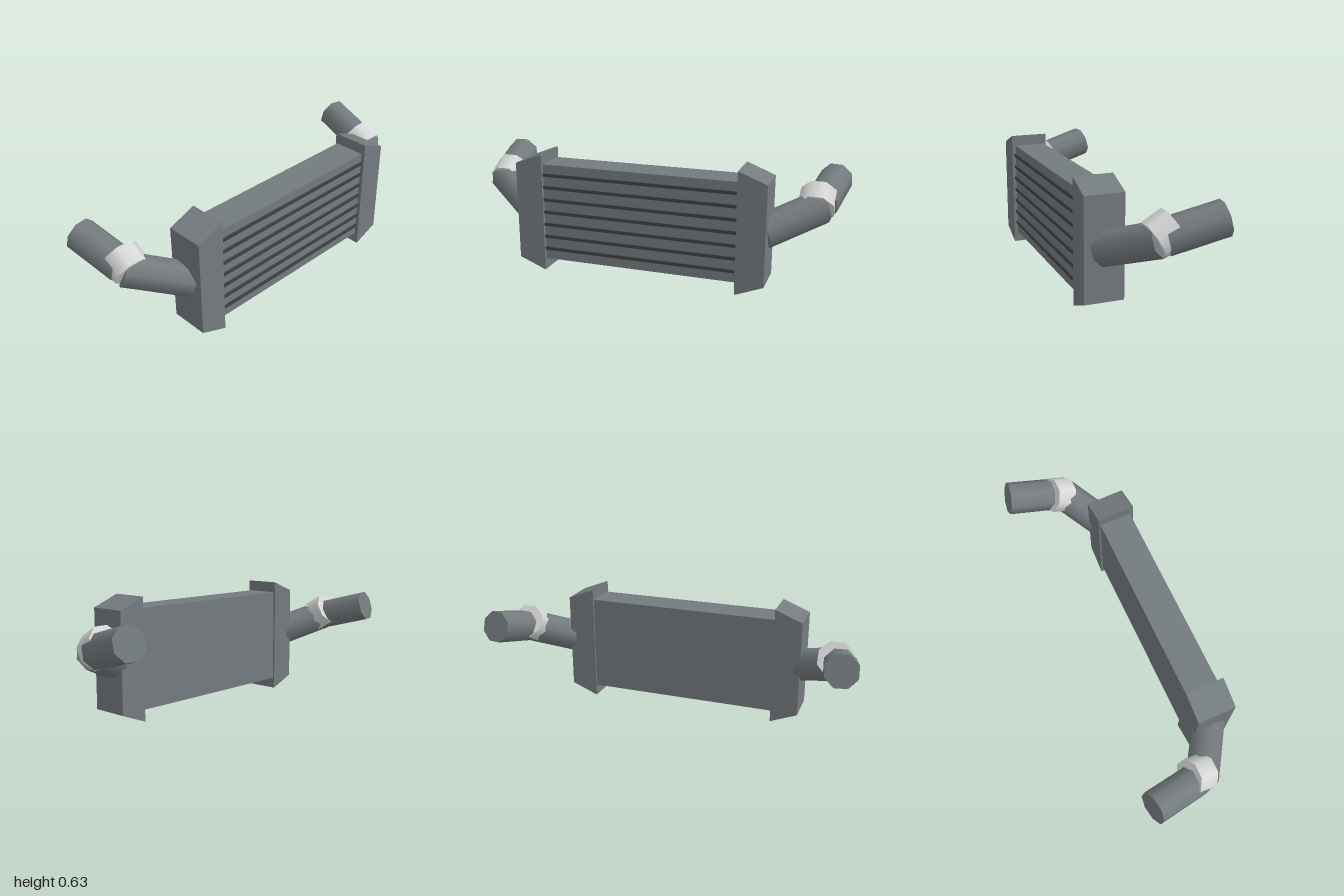
import * as THREE from 'three';

const steel = new THREE.MeshStandardMaterial({ color: 0x747b7f });
steel.name = 'steel grey';
const dark = new THREE.MeshStandardMaterial({ color: 0x3e4144 });
dark.name = 'dark grey';
const pale = new THREE.MeshStandardMaterial({ color: 0xd8d8d8 });
pale.name = 'pale grey';

function add(parent, name, geometry, material) {
  const mesh = new THREE.Mesh(geometry, material);
  mesh.name = name;
  parent.add(mesh);
  return mesh;
}

// Eight-sided tube between two points, with a flat side facing up
function tube(parent, name, from, to, apothem, material) {
  const a = new THREE.Vector3(...from);
  const b = new THREE.Vector3(...to);
  const axis = b.clone().sub(a);
  const length = axis.length();
  axis.normalize();
  const side = new THREE.Vector3().crossVectors(axis, new THREE.Vector3(0, 1, 0)).normalize();
  const up = new THREE.Vector3().crossVectors(side, axis);
  const radius = apothem / Math.cos(Math.PI / 8);
  const geometry = new THREE.CylinderGeometry(radius, radius, length, 8, 1, false, Math.PI / 8);
  const mesh = add(parent, name, geometry, material);
  mesh.quaternion.setFromRotationMatrix(new THREE.Matrix4().makeBasis(side, axis, up));
  mesh.position.copy(a).add(b).multiplyScalar(0.5);
}

export function createModel() {
  const model = new THREE.Group();
  model.name = 'intercooler';

  // Core block
  const core = add(model, 'core', new THREE.BoxGeometry(1.06, 0.516, 0.17), steel);
  core.position.set(0, 0.317, 0.19);

  // Dark slats across the front of the core
  for (let i = -3; i <= 3; i++) {
    const slat = add(model, 'slat', new THREE.BoxGeometry(1.03, 0.016, 0.009), dark);
    slat.position.set(0, 0.319 + i * 0.067, 0.2795);
  }

  for (const s of [1, -1]) {
    const end = new THREE.Group();
    end.name = s > 0 ? 'leftEnd' : 'rightEnd';
    model.add(end);

    // Tapered end tank
    const outline = [[0.515, 0], [0.66, 0.058], [0.66, 0.576], [0.515, 0.633]];
    const shape = new THREE.Shape(outline.map(([x, y]) => new THREE.Vector2(s * x, y)));
    const tank = add(end, 'endTank',
      new THREE.ExtrudeGeometry(shape, { depth: 0.2, bevelEnabled: false }), steel);
    tank.position.z = 0.095;

    // Bent hose in two lengths, joined by a collar
    tube(end, 'lowerPipe', [s * 0.625, 0.31, 0.194], [s * 0.885, 0.415, 0.015], 0.08, steel);
    tube(end, 'upperPipe', [s * 0.874, 0.418, 0], [s * 0.919, 0.491, -0.271], 0.08, steel);
    tube(end, 'collar', [s * 0.858, 0.405, 0.048], [s * 0.858, 0.46, -0.047], 0.0875, pale);
  }
  return model;
}
